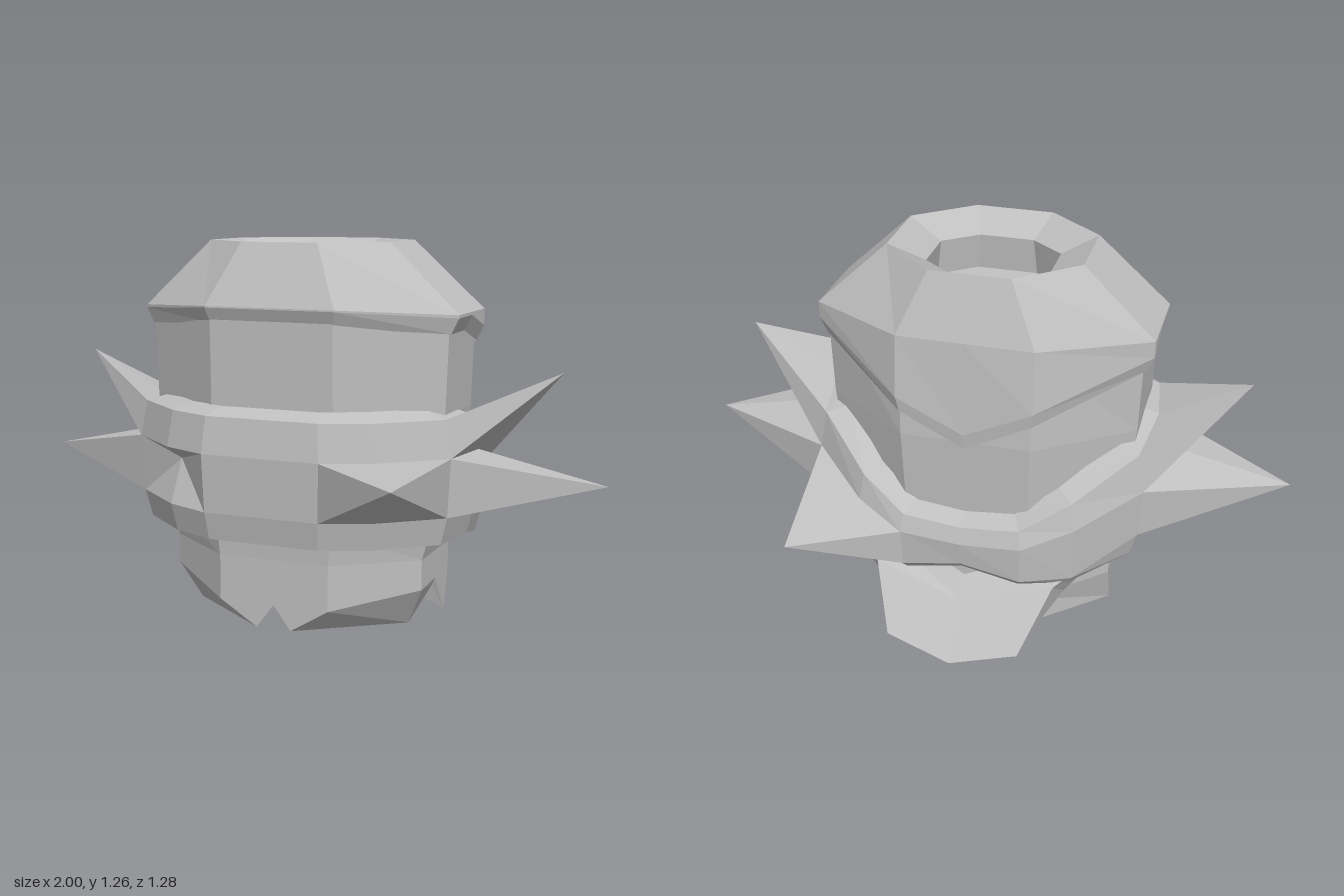
import * as THREE from 'three';

// Full loop from a half outline running front centre -> left side -> back centre
function mirrorLoop(half) {
  const inner = half.slice(1, -1).reverse().map(([x, y, z]) => [-x, y, z]);
  return [...half, ...inner];
}

// Half outline from plan points [x, z], heights (number or list) and a plan scale
function ring(plan, heights, scale = 1) {
  return mirrorLoop(plan.map(([x, z], i) => [x * scale, Array.isArray(heights) ? heights[i] : heights, z * scale]));
}

// Faces between successive loops, listed top to bottom; skip(row, column) leaves gaps
function loft(rows, skip = () => false) {
  const tris = [];
  for (let r = 0; r < rows.length - 1; r++) {
    const n = rows[r].length;
    for (let j = 0; j < n; j++) {
      if (skip(r, j)) continue;
      const k = (j + 1) % n;
      const a = rows[r][j], b = rows[r + 1][j], c = rows[r + 1][k], d = rows[r][k];
      tris.push(a, b, c, a, c, d);
    }
  }
  return tris;
}

// Triangles from each edge of a loop to one point
function fan(loop, tip) {
  return loop.flatMap((p, i) => [p, loop[(i + 1) % loop.length], tip]);
}

export function createModel() {
  const model = new THREE.Group();
  model.name = 'hoodedFigure';
  const stone = new THREE.MeshStandardMaterial({ color: 0xbfbfbf, flatShading: true, side: THREE.DoubleSide });
  stone.name = 'plain grey';

  const add = (name, tris) => {
    const geometry = new THREE.BufferGeometry();
    geometry.setAttribute('position', new THREE.Float32BufferAttribute(tris.flat(), 3));
    geometry.computeVertexNormals();
    const mesh = new THREE.Mesh(geometry, stone);
    mesh.name = name;
    model.add(mesh);
  };

  // Eight-sided plan with centre points at front, sides and back
  const plan = (x1, x2, zSide, zFront, zBack) => [
    [0, zFront], [x1, zFront], [x2, zSide], [x2, 0], [x2, -zSide], [x1, -zBack], [0, -zBack],
  ];

  // Cap: sunken opening, slanted crown and a rim that dips to a point at the back
  const rimPlan = plan(0.22, 0.55, 0.14, 0.355, 0.365);
  const rimY = [1.055, 1.055, 1.03, 1.03, 0.985, 0.855, 0.75];
  const floor = ring(plan(0.1, 0.215, 0.085, 0.175, 0.175), 1.08);
  add('cap', [
    ...loft([
      floor,
      ring(plan(0.09, 0.2, 0.08, 0.165, 0.165), 1.2),
      ring(plan(0.13, 0.315, 0.12, 0.27, 0.28), 1.26),
      ring(plan(0.22, 0.55, 0.14, 0.355, 0.345), [1.06, 1.06, 1.04, 1.04, 1.04, 1.06, 1.06]),
      ring(rimPlan, rimY),
      ring(plan(0.21, 0.525, 0.14, 0.335, 0.36), rimY.map((y) => y - 0.05)),
    ]),
    ...fan(floor, [0, 1.06, 0]),
  ]);

  // Face and neck behind the scarf
  add('face', loft([
    ring(plan(0.21, 0.52, 0.14, 0.34, 0.34), 1.03),
    ring(plan(0.21, 0.51, 0.14, 0.335, 0.355), 0.72),
    ring(plan(0.2, 0.47, 0.14, 0.33, 0.34), 0.34),
  ]));

  // Lower body, open underneath, with chamfered front corners and notched hem
  const body = plan(0.19, 0.44, 0.14, 0.325, 0.33);
  add('lowerBody', loft([
    ring(plan(0.2, 0.47, 0.14, 0.33, 0.34), 0.36),
    ring(body, 0.25),
    ring(body, [0.11, 0.1, 0.15, 0.155, 0.15, 0.12, 0.12]),
    mirrorLoop([
      [0, 0.1, 0.325], [0.06, 0.02, 0.325], [0.38, 0.02, 0.09], [0.43, 0.13, 0],
      [0.44, 0.02, -0.1], [0.19, 0.02, -0.33], [0, 0.02, -0.33],
    ]),
  ]));

  // Scarf: wraps level at the front and sinks at the back
  const wrap = [
    [0, 0.43], [0.2, 0.43], [0.36, 0.36], [0.55, 0.2], [0.58, 0],
    [0.55, -0.2], [0.36, -0.36], [0.2, -0.425], [0, -0.43],
  ];
  const topY = [0.72, 0.72, 0.72, 0.72, 0.71, 0.66, 0.54, 0.45, 0.435];
  const rows = [
    ring(wrap, topY.map((y) => y + 0.025), 0.82),
    ring(wrap, topY, 0.96),
    ring(wrap, [0.6, 0.6, 0.6, 0.6, 0.6, 0.53, 0.45, 0.39, 0.38]),
    ring(wrap, [0.41, 0.41, 0.41, 0.41, 0.41, 0.36, 0.26, 0.26, 0.3], 0.98),
    ring(wrap, [0.32, 0.32, 0.32, 0.32, 0.32, 0.28, 0.23, 0.24, 0.28], 0.94),
    ring(wrap, [0.33, 0.33, 0.33, 0.33, 0.33, 0.3, 0.26, 0.26, 0.29], 0.78),
  ];

  // Spikes, and one hollow, each covering two neighbouring scarf panels: row, column, tip
  const points = [
    ['leftSpike', 2, 3, [1, 0.51, 0]],
    ['rightSpike', 2, 11, [-1, 0.51, 0]],
    ['leftUpperSpike', 1, 3, [0.85, 0.86, 0]],
    ['rightUpperSpike', 1, 11, [-0.85, 0.86, 0]],
    ['frontSpike', 2, 1, [0.51, 0.58, 0.64]],
    ['backSpike', 2, 5, [0.51, 0.42, -0.64]],
    ['frontHollow', 2, 13, [-0.35, 0.55, 0.28]],
  ];
  add('scarf', loft(rows, (r, j) => points.some(([, row, col]) => r === row && (j === col || j === col + 1))));
  for (const [name, r, j, tip] of points) {
    const upper = rows[r], lower = rows[r + 1];
    add(name, fan([lower[j], lower[j + 1], lower[j + 2], upper[j + 2], upper[j + 1], upper[j]], tip));
  }

  // Scarf tail: gathered from both sides under the wrap and hanging out behind
  const tailEnd = mirrorLoop([[0, 0, -0.48], [0.21, 0.03, -0.46], [0.22, 0.05, -0.53], [0, 0, -0.565]]);
  add('scarfTail', [
    ...loft([
      mirrorLoop([[0, 0.2, -0.3], [0.46, 0.29, -0.14], [0.48, 0.34, -0.2], [0, 0.22, -0.37]]),
      mirrorLoop([[0, 0.12, -0.34], [0.32, 0.16, -0.29], [0.3, 0.23, -0.38], [0, 0.16, -0.43]]),
      tailEnd,
    ]),
    ...fan([...tailEnd].reverse(), [0, 0.01, -0.51]),
  ]);

  return model;
}
